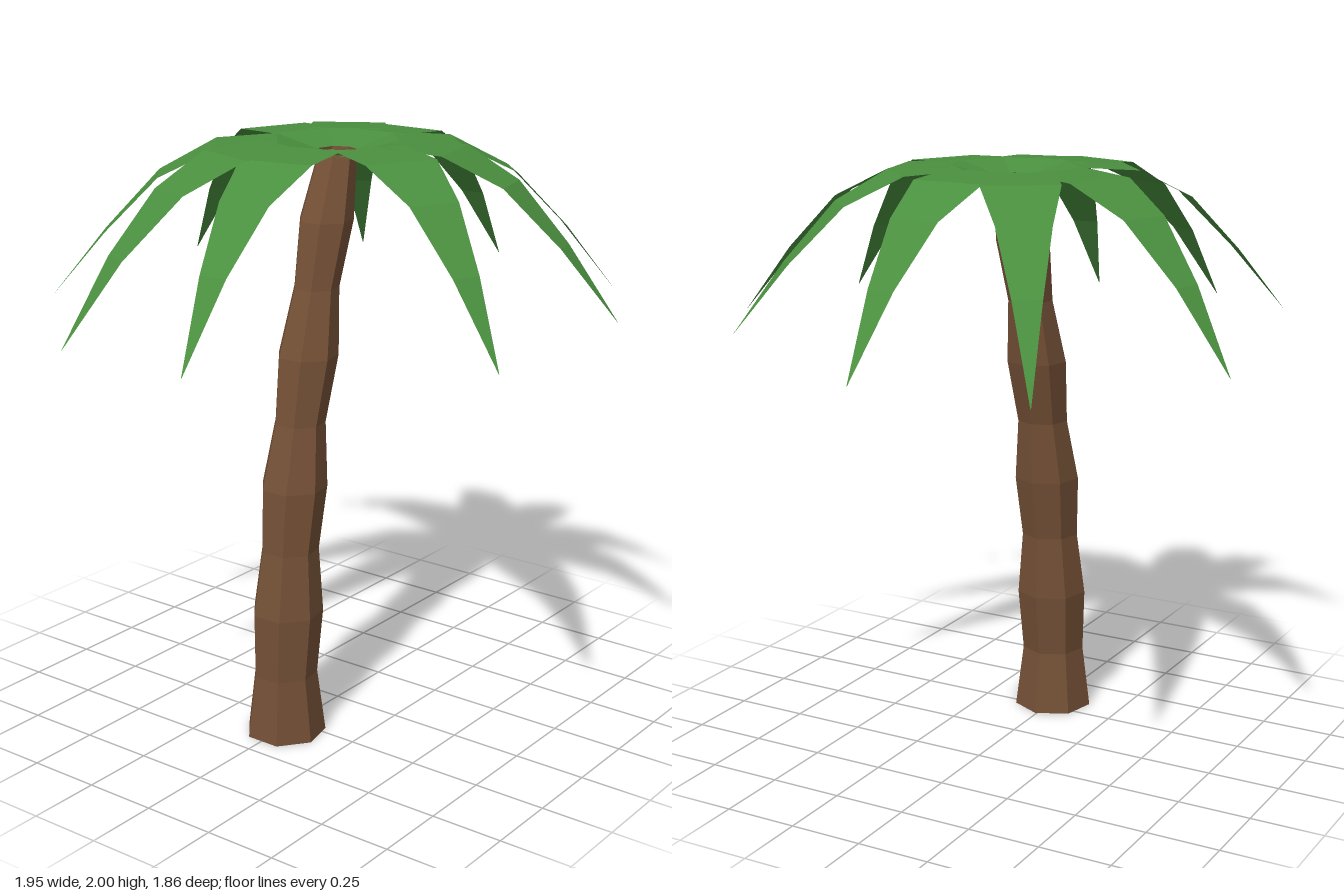
import * as THREE from 'three';

const bark = new THREE.MeshStandardMaterial({ color: 0x745036, flatShading: true, side: THREE.DoubleSide });
bark.name = 'bark brown';
const green = new THREE.MeshStandardMaterial({ color: 0x4a8f3f, flatShading: true, side: THREE.DoubleSide });
green.name = 'palm green';

// Skin a list of equal-length point rows with quads
function loft(rows, closed) {
  const n = rows[0].length, index = [];
  for (let i = 0; i < rows.length - 1; i++) {
    for (let j = 0; j < (closed ? n : n - 1); j++) {
      const k = (j + 1) % n, a = i * n + j, b = i * n + k, c = a + n, d = b + n;
      index.push(a, c, b, b, c, d);
    }
  }
  const geo = new THREE.BufferGeometry();
  geo.setAttribute('position', new THREE.Float32BufferAttribute(rows.flat(2), 3));
  geo.setIndex(index);
  const flat = geo.toNonIndexed();
  flat.computeVertexNormals();
  return flat;
}

// Seven-sided leaning trunk; rings are [centre x, y, radius]
function makeTrunk() {
  const rings = [
    [-0.307, 0, 0.138], [-0.307, 0.22, 0.11], [-0.292, 0.44, 0.122], [-0.277, 0.66, 0.099],
    [-0.252, 0.875, 0.113], [-0.218, 1.09, 0.087], [-0.173, 1.31, 0.103], [-0.126, 1.53, 0.077],
    [-0.072, 1.745, 0.092], [-0.008, 1.965, 0.065],
  ];
  const rows = rings.map(([cx, y, r]) => Array.from({ length: 7 }, (_, i) => {
    const a = i / 7 * Math.PI * 2;
    return [cx + r * Math.cos(a), y, 0.005 - r * Math.sin(a)];
  }));
  return new THREE.Mesh(loft(rows, true), bark);
}

// Flat-section frond: rises from the crown dish, then droops to a point
function makeFrond(tx, tz, ty) {
  const len = Math.hypot(tx, tz), ux = tx / len, uz = tz / len;
  // [fraction of length, height, half width]
  const profile = [
    [0, 1.94, 0.07], [0.21, 1.998, 0.125], [0.42, 1.985, 0.126],
    [0.62, 1.89, 0.086], [0.81, 1.705, 0.046], [1, ty, 0.001],
  ];
  const rows = profile.map(([f, y, w]) => [-1, 1].map((s) =>
    [ux * f * len - s * uz * w, y, uz * f * len + s * ux * w]));
  return new THREE.Mesh(loft(rows, false), green);
}

export function createModel() {
  const palm = new THREE.Group();
  palm.name = 'palmTree';

  const trunk = makeTrunk();
  trunk.name = 'trunk';
  palm.add(trunk);

  // Frond tips: x, z, y
  const tips = [
    [0.36, -0.93, 1.455], [0.89, -0.545, 1.43], [0.975, 0.02, 1.45],
    [0.645, 0.68, 1.48], [0.24, 0.925, 1.475], [-0.43, 0.905, 1.46],
    [-0.975, 0.165, 1.445], [-0.97, -0.325, 1.445], [-0.6, -0.725, 1.49],
  ];
  const crown = new THREE.Group();
  crown.name = 'crown';
  tips.forEach((tip, i) => {
    const frond = makeFrond(...tip);
    frond.name = `frond${i + 1}`;
    crown.add(frond);
  });
  palm.add(crown);
  return palm;
}
